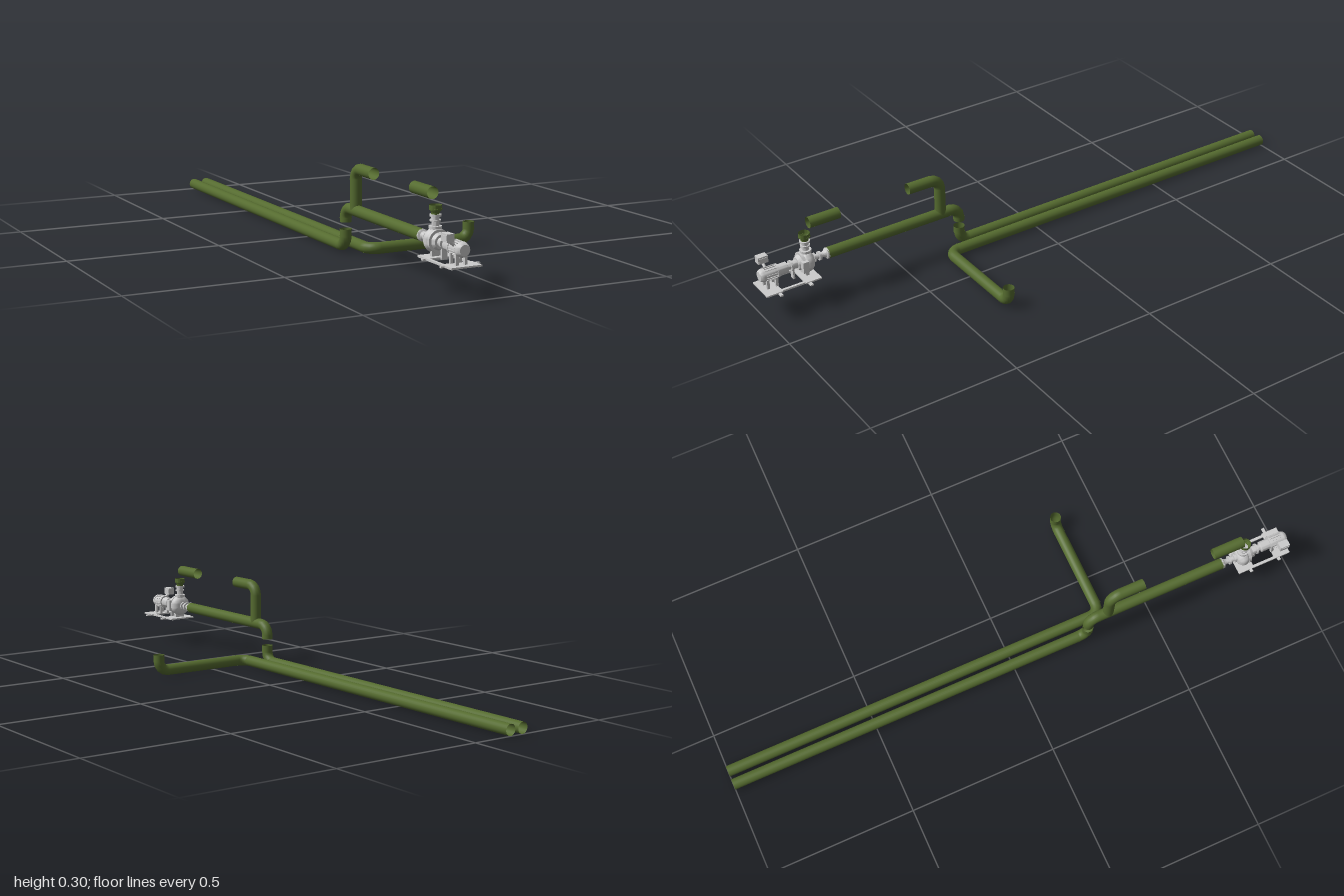
import * as THREE from 'three';
import { toCreasedNormals } from 'three/addons/utils/BufferGeometryUtils.js';

const green = new THREE.MeshStandardMaterial({ color: 0x556b2f, side: THREE.DoubleSide });
const grey = new THREE.MeshStandardMaterial({ color: 0xcccccc, side: THREE.DoubleSide });
const R = 0.0183;      // pipe radius
const BEND = 0.034;    // elbow centreline radius
const AX = -0.185;     // pump axis x
const AY = 0.145;      // pump axis y
const V = (x, y, z) => new THREE.Vector3(x, y, z);
const UP = V(0, 1, 0);

function add(parent, name, geometry, material, x = 0, y = 0, z = 0) {
  const m = new THREE.Mesh(geometry, material);
  m.name = name;
  m.position.set(x, y, z);
  parent.add(m);
  return m;
}

// Cylinder between two points
function rod(parent, name, a, b, r, material, open = false, sides = 24) {
  const d = b.clone().sub(a);
  const g = new THREE.CylinderGeometry(r, r, d.length(), sides, 1, open);
  const m = add(parent, name, g, material);
  m.position.copy(a).add(b).multiplyScalar(0.5);
  m.quaternion.setFromUnitVectors(UP, d.normalize());
  return m;
}

// Thin weld band centred on a point along a direction
function band(parent, p, dir) {
  const h = dir.clone().multiplyScalar(0.0015);
  rod(parent, 'jointBand', p.clone().sub(h), p.clone().add(h), R + 0.0005, green, true);
}

// Open pipe through corner points, with a four-piece elbow at each corner
function pipe(parent, name, pts) {
  const g = new THREE.Group();
  g.name = name;
  parent.add(g);
  let start = pts[0];
  for (let i = 1; i < pts.length; i++) {
    const a = pts[i].clone().sub(pts[i - 1]).normalize();
    const last = i === pts.length - 1;
    const end = last ? pts[i] : pts[i].clone().addScaledVector(a, -BEND);
    rod(g, 'straightRun', start, end, R, green, true);
    if (last) break;
    const b = pts[i + 1].clone().sub(pts[i]).normalize();
    const elbow = add(g, 'elbow', new THREE.TorusGeometry(BEND, R, 24, 4, Math.PI / 2), green);
    const x = b.clone().negate();
    elbow.quaternion.setFromRotationMatrix(new THREE.Matrix4().makeBasis(x, a, x.clone().cross(a)));
    elbow.position.copy(end).addScaledVector(b, BEND);
    start = pts[i].clone().addScaledVector(b, BEND);
    band(g, end, a);
    band(g, start, b);
  }
  return g;
}

// Turned part with [radius, height] profile and crisp edges
function turned(profile) {
  const g = new THREE.LatheGeometry(profile.map(p => new THREE.Vector2(...p)), 28);
  return toCreasedNormals(g, 0.6);
}

function box(parent, name, w, h, d, x, y, z) {
  return add(parent, name, new THREE.BoxGeometry(w, h, d), grey, x, y, z);
}

function buildPump(root) {
  const pump = new THREE.Group();
  pump.name = 'pump';
  root.add(pump);

  // Suction nozzle, running along z
  const suction = turned([[0.0183, 0.758], [0.0183, 0.764], [0.013, 0.767], [0.009, 0.775], [0.009, 0.784],
    [0.015, 0.784], [0.015, 0.791], [0.009, 0.791], [0.009, 0.803], [0.015, 0.803], [0.015, 0.809],
    [0.011, 0.809], [0.013, 0.82]]);
  add(pump, 'suctionNozzle', suction.rotateX(Math.PI / 2), grey, AX, AY, 0);

  // Volute casing
  const volute = turned([[0, 0.813], [0.02, 0.813], [0.029, 0.818], [0.035, 0.825], [0.037, 0.833],
    [0.035, 0.842], [0.031, 0.847], [0.034, 0.847], [0.034, 0.856], [0.026, 0.856], [0.021, 0.868], [0, 0.868]]);
  add(pump, 'voluteCasing', volute.rotateX(Math.PI / 2), grey, AX, AY, 0);

  // Bearing housing, coupling and motor
  const drive = turned([[0.014, 0.866], [0.014, 0.885], [0.018, 0.885], [0.018, 0.891], [0.011, 0.891],
    [0.011, 0.9], [0.018, 0.903], [0.018, 0.934], [0.023, 0.934], [0.023, 0.94], [0.0205, 0.94],
    [0.0205, 0.98], [0.022, 0.98], [0.022, 0.986], [0.018, 0.995], [0.016, 0.997], [0, 0.997]]);
  add(pump, 'driveAndMotor', drive.rotateX(Math.PI / 2), grey, AX, AY, 0);

  // Motor cooling fins
  for (let i = 0; i < 16; i++) {
    const a = (i + 0.5) / 16 * Math.PI * 2;
    const fin = box(pump, 'coolingFin', 0.0035, 0.0012, 0.038,
      AX + Math.cos(a) * 0.0215, AY + Math.sin(a) * 0.0215, 0.96);
    fin.rotation.z = a;
  }

  // Discharge nozzle with flanges
  const discharge = turned([[0.014, 0.165], [0.014, 0.176], [0.019, 0.178], [0.019, 0.186], [0.011, 0.186],
    [0.011, 0.199], [0.016, 0.199], [0.016, 0.204], [0.012, 0.204], [0.012, 0.213], [0.017, 0.213], [0.017, 0.219], [0.01, 0.219]]);
  add(pump, 'dischargeNozzle', discharge, grey, AX, 0, 0.833);
  const reducer = turned([[0.012, 0.219], [0.012, 0.224], [0.0175, 0.232], [0.019, 0.232],
    [0.019, 0.236], [0.0183, 0.236], [0.0183, 0.246]]);
  add(pump, 'dischargeReducer', reducer, green, AX, 0, 0.833);

  // Terminal boxes on the motor
  box(pump, 'terminalBox', 0.023, 0.024, 0.034, -0.222, 0.18, 0.966);
  box(pump, 'terminalBoxLid', 0.027, 0.014, 0.026, -0.222, 0.18, 0.966);
  rod(pump, 'conduit', V(-0.218, 0.169, 0.966), V(-0.197, 0.153, 0.966), 0.005, grey, false, 12);
  box(pump, 'sideBox', 0.018, 0.038, 0.02, -0.154, AY, 0.853);

  // Pedestals
  box(pump, 'casingFoot', 0.036, 0.022, 0.012, AX, 0.108, 0.84);
  box(pump, 'bearingFoot', 0.018, 0.04, 0.006, AX, 0.118, 0.883);
  for (const s of [-1, 1])
    for (const z of [0.946, 0.976])
      box(pump, 'motorFoot', 0.009, 0.034, 0.009, AX + s * 0.014, 0.116, z);

  // Base frame: two plates, two rails and mounting bars
  for (const [z, d] of [[0.838, 0.056], [0.972, 0.056]])
    box(pump, 'basePlate', 0.098, 0.005, d, AX + 0.005, 0.0985, z);
  for (const x of [-0.225, -0.14]) box(pump, 'baseRail', 0.009, 0.006, 0.19, x, 0.098, 0.905);
  for (const z of [0.853, 0.957]) box(pump, 'mountingBar', 0.125, 0.005, 0.01, -0.177, 0.0965, z);
}

export function createModel() {
  const root = new THREE.Group();
  root.name = 'pumpAndPipework';

  // Suction line at pump height, turning down
  const upper = pipe(root, 'suctionLine', [V(AX, AY, 0.762), V(AX, AY, 0.272), V(AX, 0.098, 0.272)]);
  for (const z of [0.62, 0.48, 0.38]) band(upper, V(AX, AY, z), V(0, 0, 1));

  // Long ground line below it
  const main = pipe(root, 'groundLine', [V(AX, 0.075, 0.272), V(AX, 0.0195, 0.272), V(AX, 0.0195, -1)]);
  band(main, V(AX, 0.074, 0.272), UP);

  // Parallel ground line with side branch and riser
  const branch = pipe(root, 'branchLine',
    [V(-0.137, 0.0195, -1), V(-0.137, 0.0195, 0.341), V(0.218, 0.0195, 0.341), V(0.218, 0.075, 0.341)]);
  band(branch, V(0.06, 0.0195, 0.341), V(1, 0, 0));
  band(branch, V(0.218, 0.073, 0.341), UP);

  // Riser above the suction line
  pipe(root, 'overheadRiser', [V(AX, AY, 0.341), V(AX, 0.277, 0.341), V(AX, 0.277, 0.46)]);

  // Separate overhead length above the pump outlet
  const stub = pipe(root, 'overheadStub', [V(AX, 0.277, 0.71), V(AX, 0.277, 0.817)]);
  band(stub, V(AX, 0.277, 0.8), V(0, 0, 1));

  buildPump(root);
  return root;
}
